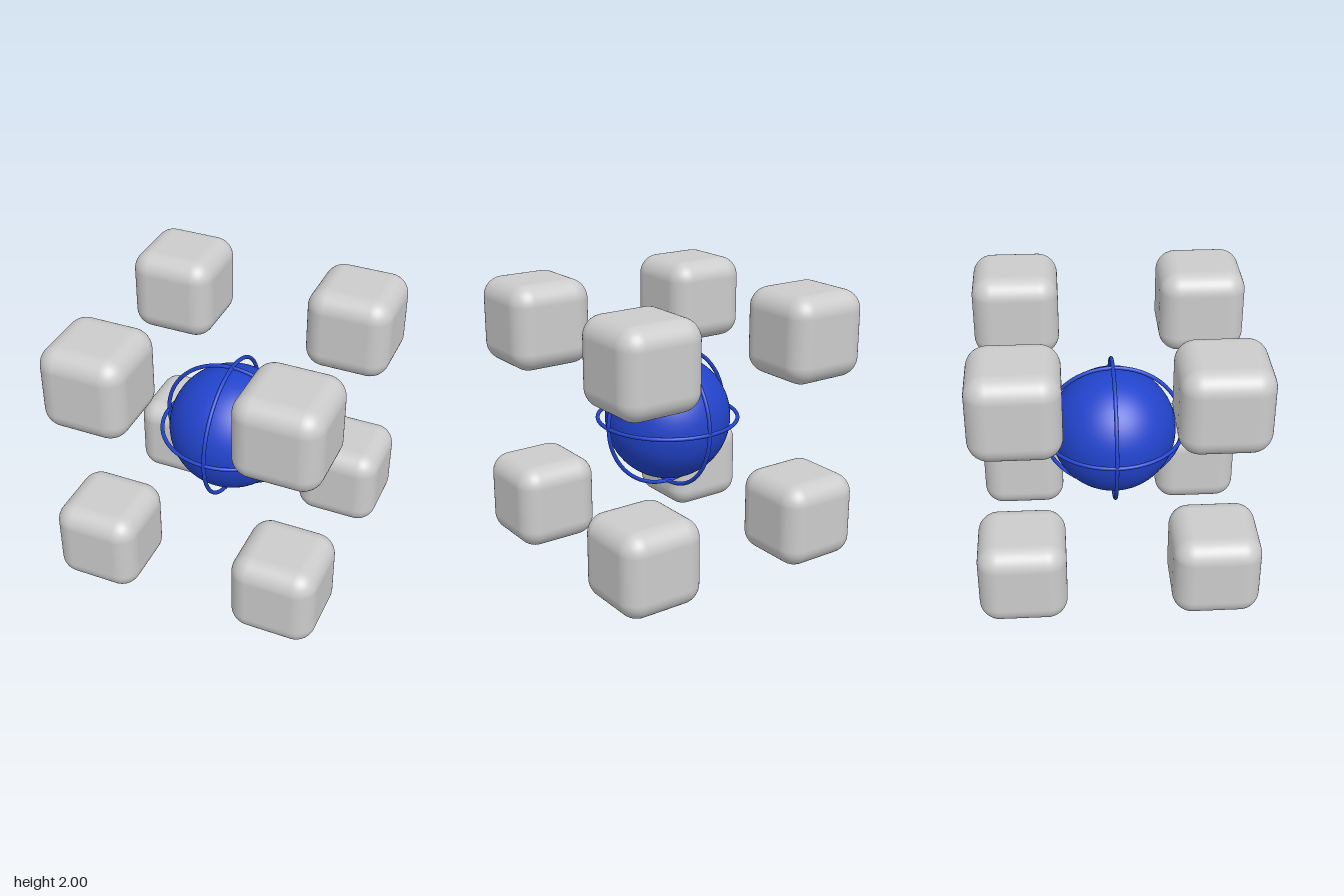
import * as THREE from 'three';
import { RoundedBoxGeometry } from 'three/addons/geometries/RoundedBoxGeometry.js';

export function createModel() {
  const model = new THREE.Group();
  const grey = new THREE.MeshStandardMaterial({ color: 0xcccccc });
  const blue = new THREE.MeshStandardMaterial({ color: 0x2244cc });

  const add = (name, geometry, material, x = 0, y = 0, z = 0) => {
    const mesh = new THREE.Mesh(geometry, material);
    mesh.name = name;
    mesh.position.set(x, 1 + y, z);
    model.add(mesh);
    return mesh;
  };

  // Eight rounded cubes at the corners
  const size = 0.626;
  const offset = 1 - size / 2;
  const cube = new RoundedBoxGeometry(size, size, size, 8, 0.145);
  for (const [sx, xName] of [[1, 'Left'], [-1, 'Right']])
    for (const [sy, yName] of [[1, 'upper'], [-1, 'lower']])
      for (const [sz, zName] of [[1, 'Front'], [-1, 'Back']])
        add(`${yName}${zName}${xName}Cube`, cube, grey, sx * offset, sy * offset, sz * offset);

  // Central sphere
  add('coreSphere', new THREE.SphereGeometry(0.461, 64, 48), blue);

  // Three mutually perpendicular rings around the sphere
  const ring = new THREE.TorusGeometry(0.514, 0.0145, 16, 96);
  add('frontRing', ring, blue);
  add('sideRing', ring, blue).rotation.y = Math.PI / 2;
  add('horizontalRing', ring, blue).rotation.x = Math.PI / 2;

  return model;
}
